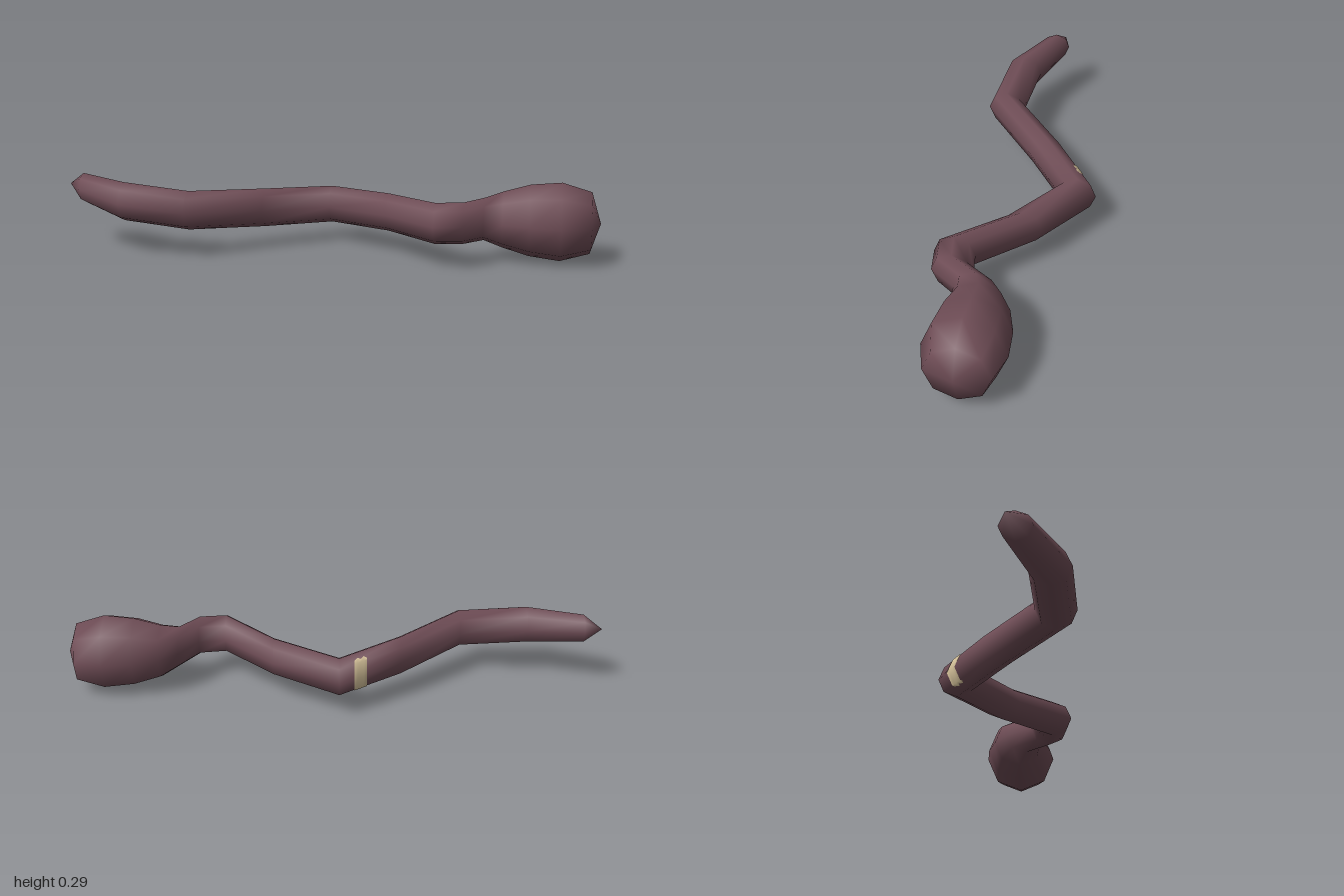
import * as THREE from 'three';
import { mergeVertices } from 'three/addons/utils/BufferGeometryUtils.js';

const SIDES = 8;

// Upright rings from tail tip to blunt head: [x, y, z, radius]
const RINGS = [
  [-1.0, 0.228, 0.03, 0], [-0.933, 0.22, 0.06, 0.055], [-0.735, 0.193, 0.163, 0.072],
  [-0.48, 0.172, 0.182, 0.072], [-0.24, 0.15, -0.025, 0.073], [-0.012, 0.14, -0.188, 0.071],
  [0.23, 0.149, -0.03, 0.071], [0.42, 0.157, 0.17, 0.074], [0.52, 0.158, 0.153, 0.075],
  [0.588, 0.155, 0.054, 0.078], [0.655, 0.149, 0.025, 0.104], [0.75, 0.149, 0.023, 0.132],
  [0.86, 0.148, 0.026, 0.144], [0.965, 0.148, 0.024, 0.113], [1.0, 0.148, 0.028, 0],
];

// Point on an octagonal ring; fractional k lies on the flat between two corners
function ringPoint([x, y, z, r], k) {
  const corner = (i) => {
    const a = (i / SIDES) * Math.PI * 2;
    return new THREE.Vector3(x, y + r * Math.cos(a), z + r * Math.sin(a));
  };
  const i = Math.floor(k);
  return corner(i).lerp(corner(i + 1), k - i);
}

// Smooth skin over equal-length rows of points
function skin(rows) {
  const n = rows[0].length;
  const index = [];
  for (let i = 0; i < rows.length - 1; i++) {
    for (let j = 0; j < n - 1; j++) {
      const a = i * n + j, b = a + n;
      index.push(a, a + 1, b, a + 1, b + 1, b);
    }
  }
  let g = new THREE.BufferGeometry().setFromPoints(rows.flat());
  g.setIndex(index);
  g = mergeVertices(g, 1e-5);
  g.computeVertexNormals();
  return g;
}

export function createModel() {
  const skinColor = new THREE.MeshStandardMaterial({ name: 'dusky mauve', color: 0x6f4d56 });
  const bandColor = new THREE.MeshStandardMaterial({ name: 'pale tan', color: 0xd8c49c });
  const group = new THREE.Group();
  group.name = 'worm';

  // Winding body with bulbous head and pointed tail
  const around = Array.from({ length: SIDES + 1 }, (_, k) => k);
  const body = new THREE.Mesh(skin(RINGS.map((r) => around.map((k) => ringPoint(r, k % SIDES)))), skinColor);
  body.name = 'body';
  group.add(body);

  // Ragged pale patch wrapped round the back of the middle bend
  const [from, to] = [RINGS[4], RINGS[5]];
  const edges = [[4.85, 7.15], [4.65, 7.4], [4.8, 7.25], [4.6, 7.45], [4.85, 7.3]];
  const rows = edges.map(([low, high], i) => {
    const t = 0.56 + 0.05 * i;
    const ring = from.map((v, c) => THREE.MathUtils.lerp(v, to[c], t));
    ring[3] += 0.003;
    return [low, 5, 6, 7, high].map((k) => ringPoint(ring, k));
  });
  const patch = new THREE.Mesh(skin(rows), bandColor);
  patch.name = 'backPatch';
  group.add(patch);

  return group;
}
